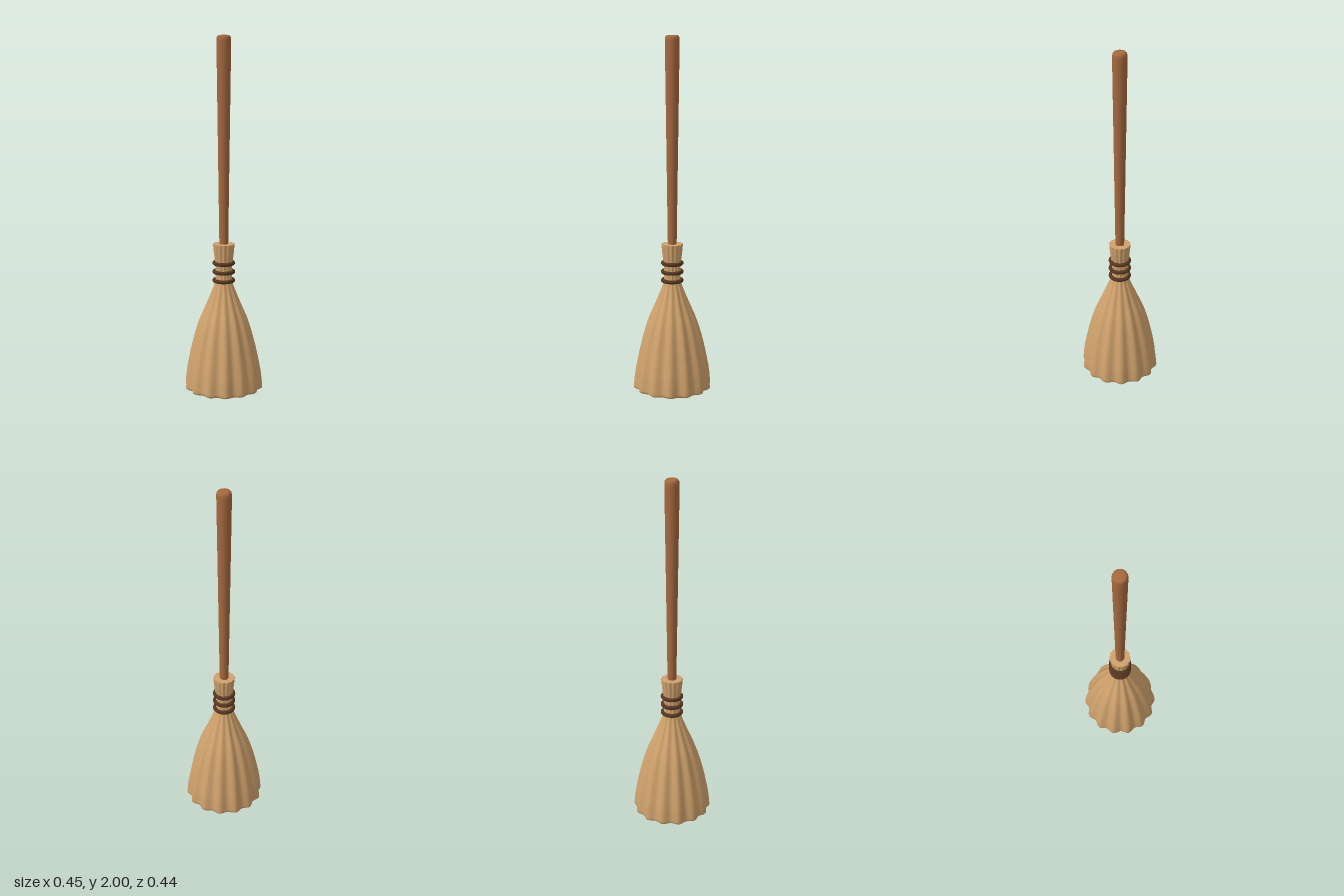
import * as THREE from 'three';
import { mergeVertices } from 'three/addons/utils/BufferGeometryUtils.js';

const LOBES = 14;
const straw = new THREE.MeshStandardMaterial({ color: 0xd0a26c });
const strawEnd = new THREE.MeshStandardMaterial({ color: 0xdcb27c });
const underside = new THREE.MeshStandardMaterial({ color: 0x7c5c3c });
const wood = new THREE.MeshStandardMaterial({ color: 0xa5683f });
const cord = new THREE.MeshStandardMaterial({ color: 0x553620 });

function add(parent, name, geometry, material, y = 0) {
  const mesh = new THREE.Mesh(geometry, material);
  mesh.name = name;
  mesh.position.y = y;
  parent.add(mesh);
  return mesh;
}

const points = (list) => list.map(([r, y]) => new THREE.Vector2(r, y));

// Lathe whose radius swells into rounded lobes around the axis
function lobed(profile) {
  let g = new THREE.LatheGeometry(profile, LOBES * 8);
  g.deleteAttribute('normal');
  g.deleteAttribute('uv');
  const p = g.attributes.position;
  for (let i = 0; i < p.count; i++) {
    const x = p.getX(i), z = p.getZ(i);
    const s = 1 + 0.043 * Math.cos(LOBES * Math.atan2(z, x));
    p.setXYZ(i, x * s, p.getY(i), z * s);
  }
  g = mergeVertices(g, 1e-5);
  g.computeVertexNormals();
  return g;
}

export function createModel() {
  const broom = new THREE.Group();
  broom.name = 'broom';

  // Handle, widening toward a rounded top
  add(broom, 'handle', new THREE.LatheGeometry(points([
    [0, 0.6], [0.021, 0.6], [0.025, 0.85], [0.04, 1.96], [0.04, 1.98],
    [0.037, 1.992], [0.031, 1.999], [0.02, 2], [0, 2],
  ]), 32), wood);

  // Straw head: flared skirt, tight neck and short collar
  const flare = new THREE.SplineCurve(points([
    [0.214, 0.02], [0.206, 0.1], [0.188, 0.2], [0.165, 0.3], [0.135, 0.4],
    [0.094, 0.5], [0.055, 0.6], [0.046, 0.64], [0.045, 0.69], [0.048, 0.74],
    [0.054, 0.79], [0.059, 0.845],
  ])).getPoints(44);
  add(broom, 'strawHead', lobed([...points([[0.205, 0.006], [0.213, 0.011]]), ...flare]), straw);
  add(broom, 'strawTop', lobed(points([[0.059, 0.845], [0, 0.845]])), straw);
  add(broom, 'strawUnderside', lobed(points([[0, 0.006], [0.205, 0.006]])), underside);

  // Bristle ends showing under the head
  const ends = new THREE.Group();
  ends.name = 'bristleEnds';
  broom.add(ends);
  const endGeometry = new THREE.CylinderGeometry(0.018, 0.018, 0.02, 12);
  for (const [count, radius] of [[1, 0], [5, 0.08], [10, 0.16]]) {
    for (let i = 0; i < count; i++) {
      const a = (i / count) * Math.PI * 2;
      const end = add(ends, 'bristleEnd', endGeometry, strawEnd, 0.01);
      end.position.x = radius * Math.cos(a);
      end.position.z = radius * Math.sin(a);
    }
  }

  // Three cord bindings round the neck
  const tieGeometry = new THREE.TorusGeometry(0.053, 0.011, 12, 40).rotateX(Math.PI / 2);
  for (const y of [0.635, 0.685, 0.735]) add(broom, 'binding', tieGeometry, cord, y);

  return broom;
}
